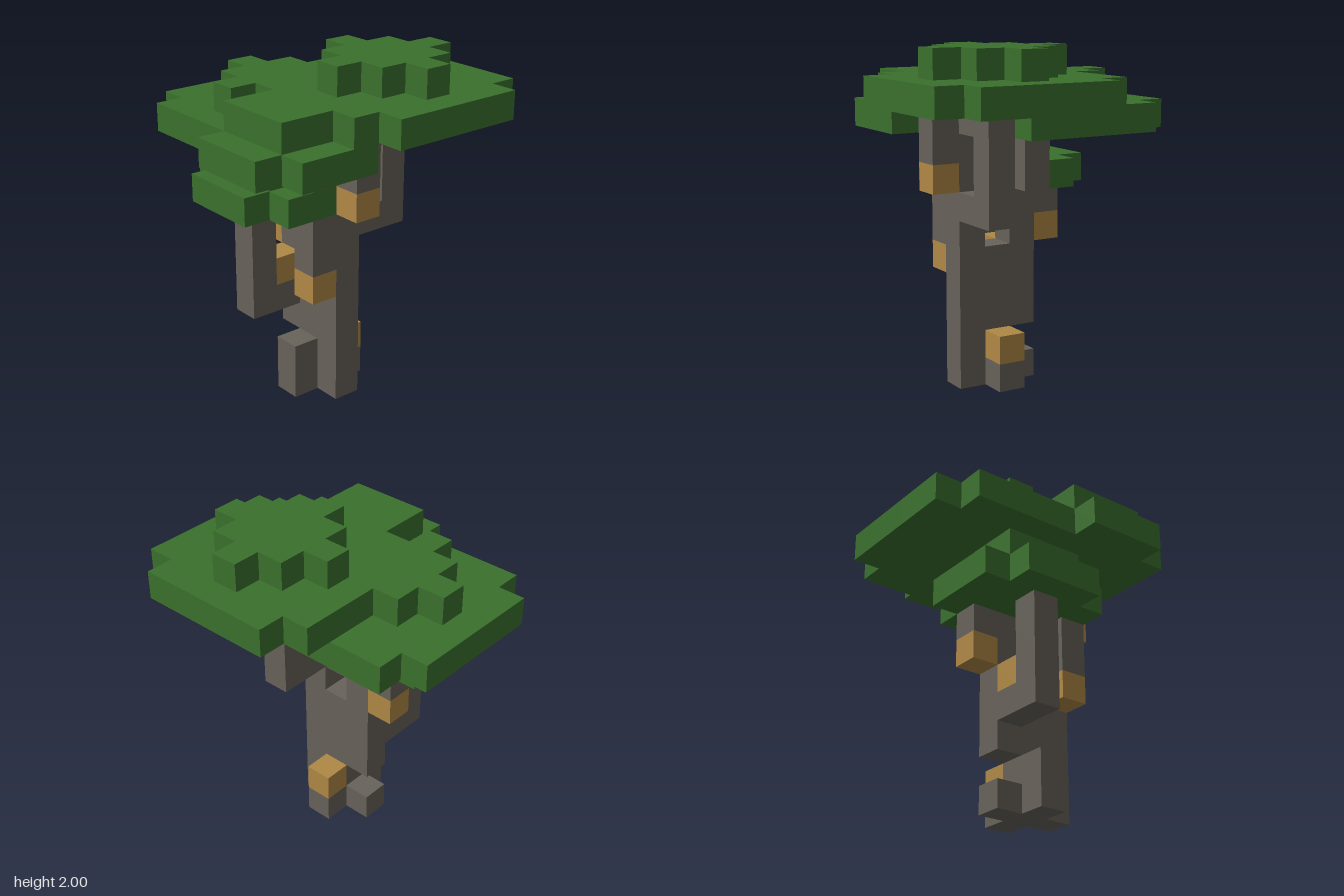
import * as THREE from 'three';

const U = 1 / 6; // edge of one block

// The six block sides: outward normal and two edge directions with a x b = n
const SIDES = [
  [[1, 0, 0], [0, 1, 0], [0, 0, 1]], [[-1, 0, 0], [0, 0, 1], [0, 1, 0]],
  [[0, 1, 0], [0, 0, 1], [1, 0, 0]], [[0, -1, 0], [1, 0, 0], [0, 0, 1]],
  [[0, 0, 1], [1, 0, 0], [0, 1, 0]], [[0, 0, -1], [0, 1, 0], [1, 0, 0]],
];

export function createModel() {
  const bark = new THREE.MeshStandardMaterial({ name: 'bark', color: 0x67625a });
  const leaf = new THREE.MeshStandardMaterial({ name: 'leaf', color: 0x3a702d });
  const fruit = new THREE.MeshStandardMaterial({ name: 'fruit', color: 0xb08846 });

  const filled = new Set();
  const parts = [];
  const part = (name, material) => parts[parts.push({ name, material, cells: [] }) - 1];
  const put = (p, x, y, z) => {
    const key = `${x},${y},${z}`;
    if (filled.has(key)) return;
    filled.add(key);
    p.cells.push([x, y, z]);
  };
  // Fill a cuboid of blocks; upper bounds are exclusive
  const box = (p, x0, x1, y0, y1, z0, z1) => {
    for (let x = x0; x < x1; x++)
      for (let y = y0; y < y1; y++)
        for (let z = z0; z < z1; z++) put(p, x, y, z);
  };
  // Flat layer of leaves round a centre block, corners trimmed by limit
  const layer = (p, cx, y, cz, r, limit, skip = () => false) => {
    for (let dx = -r; dx <= r; dx++)
      for (let dz = -r; dz <= r; dz++)
        if (Math.abs(dx) + Math.abs(dz) <= limit && !skip(cx + dx, cz + dz)) put(p, cx + dx, y, cz + dz);
  };

  // Trunk and roots
  const trunk = part('trunk', bark);
  box(trunk, -1, 0, 0, 5, 0, 2);
  box(trunk, -1, 0, 2, 5, -1, 0);
  box(trunk, -1, 0, 5, 10, 1, 2);
  const roots = part('roots', bark);
  box(roots, -2, -1, 0, 2, 0, 1);
  box(roots, 0, 1, 0, 1, 0, 1);
  box(roots, -1, 0, 0, 1, -1, 0);

  // Branches
  const frontBranch = part('frontBranch', bark);
  box(frontBranch, -1, 0, 8, 10, 2, 3);
  box(frontBranch, -2, -1, 5, 7, 1, 2);
  box(frontBranch, -2, -1, 8, 9, 1, 2);
  const sideBranch = part('sideBranch', bark);
  box(sideBranch, 0, 2, 6, 7, 1, 2);
  box(sideBranch, 1, 2, 7, 10, 1, 2);
  box(sideBranch, 0, 1, 9, 10, 1, 2);
  const lowBranch = part('lowBranch', bark);
  box(lowBranch, -3, -1, 3, 4, -1, 0);
  box(lowBranch, -3, -2, 4, 7, -1, 0);
  const backBranch = part('backBranch', bark);
  box(backBranch, -1, 0, 5, 9, -1, 0);
  box(backBranch, -1, 0, 6, 7, -2, -1);
  box(backBranch, 0, 1, 7, 9, -1, 0);
  box(backBranch, -1, 0, 9, 10, -2, 0);

  // Fruit blocks
  for (const [x, y, z] of [[0, 1, 0], [-2, 4, 1], [-2, 4, -1], [-1, 5, -2], [-1, 7, 2]])
    put(part('fruit', fruit), x, y, z);

  // Leaf crowns
  const mainCrown = part('mainCrown', leaf);
  layer(mainCrown, 1, 10, 1, 3, 5);
  layer(mainCrown, 1, 11, 1, 2, 2);
  const backCrown = part('backCrown', leaf);
  layer(backCrown, -1, 9, -2, 3, 5);
  layer(backCrown, -1, 10, -2, 2, 2);
  const sideCrown = part('sideCrown', leaf);
  layer(sideCrown, -3, 9, 1, 2, 3);
  layer(sideCrown, -3, 10, 1, 1, 2);
  const lowCrown = part('lowCrown', leaf);
  layer(lowCrown, -2, 7, -1, 2, 3, (x, z) => x === 0 && z === 0);
  layer(lowCrown, -2, 8, -1, 1, 2, (x, z) => x === -1 && z === -2);

  // Turn each part into a mesh of its exposed block sides
  const model = new THREE.Group();
  model.name = 'blockTree';
  for (const { name, material, cells } of parts) {
    const pos = [], nor = [], index = [];
    for (const c of cells)
      for (const [n, a, b] of SIDES) {
        if (filled.has(c.map((v, i) => v + n[i]).join(','))) continue;
        const start = pos.length / 3;
        for (const [s, t] of [[0, 0], [1, 0], [1, 1], [0, 1]]) {
          pos.push(...c.map((v, i) => (v + Math.max(n[i], 0) + s * a[i] + t * b[i]) * U));
          nor.push(...n);
        }
        index.push(start, start + 1, start + 2, start, start + 2, start + 3);
      }
    const geometry = new THREE.BufferGeometry();
    geometry.setAttribute('position', new THREE.Float32BufferAttribute(pos, 3));
    geometry.setAttribute('normal', new THREE.Float32BufferAttribute(nor, 3));
    geometry.setIndex(index);
    const mesh = new THREE.Mesh(geometry, material);
    mesh.name = name;
    model.add(mesh);
  }
  return model;
}
